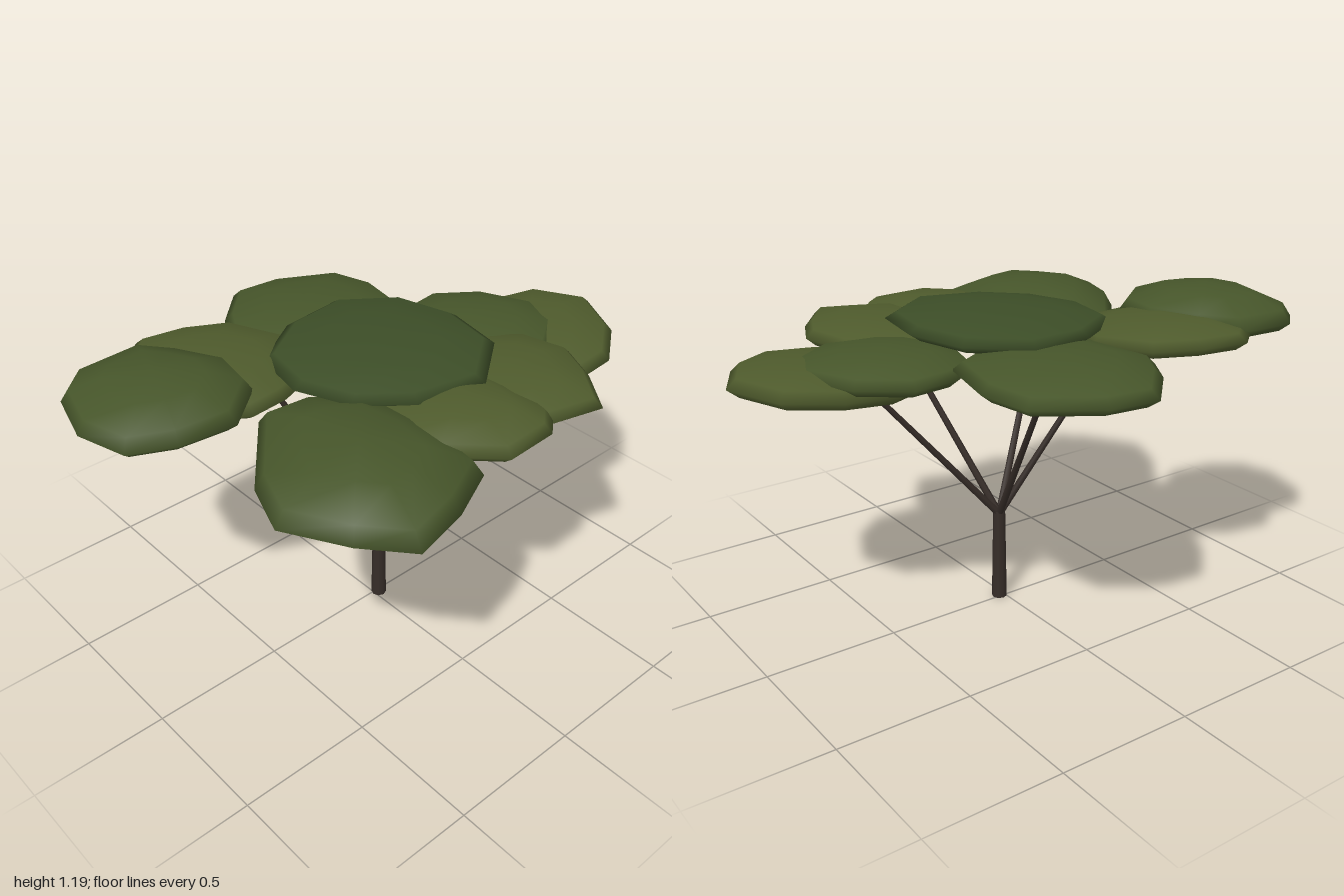
import * as THREE from 'three';
import { mergeVertices } from 'three/addons/utils/BufferGeometryUtils.js';

const bark = new THREE.MeshStandardMaterial({ color: 0x362d28 });
const leafMaterial = color => new THREE.MeshStandardMaterial({ color });
const green = leafMaterial(0x46552a), dark = leafMaterial(0x3c4d27), olive = leafMaterial(0x4e5a2c);

// Dome profile from underside to top: share of the outline, share of drop or rise
const profile = [[0, -1], [0.53, -0.83], [0.88, -0.42], [1, 0], [0.9, 0.42], [0.53, 0.82], [0, 1]];

// Low dome over a ten-cornered outline of x, z pairs, clockwise from above
function leafPad(name, material, { y, up, down, slopeX = 0, slopeZ = 0 }, outline) {
  const n = outline.length / 2;
  const corners = Array.from({ length: n }, (_, j) => new THREE.Vector2(outline[2 * j], outline[2 * j + 1]));
  const mid = corners.reduce((sum, c) => sum.add(c), new THREE.Vector2()).divideScalar(n);
  const positions = [], index = [];
  profile.forEach(([share, h], i) => {
    for (let j = 0; j < n; j++) {
      const dx = (corners[j].x - mid.x) * share, dz = (corners[j].y - mid.y) * share;
      positions.push(dx, h * (h > 0 ? up : down) + dx * slopeX + dz * slopeZ, dz);
      if (i === 0) continue;
      const a = (i - 1) * n + j, b = (i - 1) * n + (j + 1) % n;
      if (i > 1) index.push(a, a + n, b);
      if (i < profile.length - 1) index.push(b, a + n, b + n);
    }
  });
  let geo = new THREE.BufferGeometry();
  geo.setAttribute('position', new THREE.Float32BufferAttribute(positions, 3));
  geo.setIndex(index);
  geo = mergeVertices(geo, 1e-4);
  geo.computeVertexNormals();
  const pad = new THREE.Mesh(geo, material);
  pad.name = name;
  pad.position.set(mid.x, y, mid.y);
  return pad;
}

// Tapered limb between two points
function limb(name, from, to, r0, r1, sides) {
  const a = new THREE.Vector3(...from), dir = new THREE.Vector3(...to).sub(a);
  const mesh = new THREE.Mesh(new THREE.CylinderGeometry(r1, r0, dir.length(), sides), bark);
  mesh.name = name;
  mesh.position.copy(a).addScaledVector(dir, 0.5);
  mesh.quaternion.setFromUnitVectors(new THREE.Vector3(0, 1, 0), dir.normalize());
  return mesh;
}

export function createModel() {
  const tree = new THREE.Group();
  tree.name = 'flatCrownedTree';

  // Trunk and the five branches fanning from its top
  const fork = [0.02, 0.345, 0.01];
  tree.add(limb('trunk', [0.02, 0, 0.01], [0.02, 0.36, 0.01], 0.029, 0.023, 8));
  const ends = [
    [-0.52, 1.0, 0.46], [-0.30, 1.0, -0.21], [0.15, 1.0, -0.44],
    [0.21, 1.0, 0.42], [0.53, 0.95, 0.135],
  ];
  ends.forEach((end, i) => tree.add(limb('branch' + (i + 1), fork, end, 0.014, 0.010, 6)));

  // Canopy of overlapping pads
  const canopy = new THREE.Group();
  canopy.name = 'canopy';
  canopy.add(
    leafPad('backRightOuterPad', green, { y: 1.08, up: 0.11, down: 0.075, slopeX: 0.03 },
      [-1, -0.27, -0.94, -0.48, -0.84, -0.57, -0.59, -0.57, -0.5, -0.45,
        -0.41, -0.27, -0.44, -0.1, -0.6, 0.03, -0.8, 0, -0.95, -0.08]),
    leafPad('backRightInnerPad', olive, { y: 1.06, up: 0.07, down: 0.07, slopeZ: -0.04 },
      [-0.55, -0.64, -0.38, -0.61, -0.22, -0.53, -0.12, -0.33, -0.19, -0.09,
        -0.36, -0.03, -0.5, -0.02, -0.66, -0.12, -0.72, -0.33, -0.66, -0.55]),
    leafPad('backPad', green, { y: 1.03, up: 0.075, down: 0.075, slopeZ: 0.04 },
      [-0.02, -0.79, 0.16, -0.77, 0.38, -0.64, 0.42, -0.46, 0.37, -0.22,
        0.2, -0.13, -0.02, -0.14, -0.19, -0.27, -0.24, -0.52, -0.17, -0.64]),
    leafPad('centrePad', dark, { y: 1.1, up: 0.06, down: 0.07, slopeX: 0.02 },
      [-0.31, -0.22, -0.1, -0.35, 0.14, -0.37, 0.33, -0.22, 0.39, 0.01,
        0.35, 0.24, 0.14, 0.4, -0.11, 0.34, -0.27, 0.2, -0.35, 0]),
    leafPad('leftInnerPad', green, { y: 1.015, up: 0.07, down: 0.07 },
      [0.37, -0.26, 0.54, -0.28, 0.7, -0.16, 0.79, 0.04, 0.73, 0.2,
        0.58, 0.3, 0.4, 0.28, 0.26, 0.18, 0.2, 0, 0.25, -0.18]),
    leafPad('leftOuterPad', olive, { y: 0.965, up: 0.08, down: 0.075, slopeX: 0.09 },
      [0.72, -0.15, 0.91, -0.07, 1, 0.13, 0.9, 0.33, 0.74, 0.45,
        0.55, 0.45, 0.38, 0.36, 0.27, 0.15, 0.34, -0.05, 0.52, -0.15]),
    leafPad('frontLeftPad', olive, { y: 1.03, up: 0.07, down: 0.07, slopeX: 0.03 },
      [0.2, 0.02, 0.4, 0.06, 0.55, 0.2, 0.59, 0.38, 0.52, 0.53,
        0.4, 0.69, 0.23, 0.64, 0.06, 0.58, -0.03, 0.36, 0.04, 0.14]),
    leafPad('frontPad', olive, { y: 1.035, up: 0.08, down: 0.075 },
      [-0.02, 0.1, 0.15, 0.1, 0.25, 0.25, 0.26, 0.45, 0.23, 0.62,
        0.16, 0.68, -0.04, 0.69, -0.2, 0.53, -0.24, 0.4, -0.18, 0.2]),
    leafPad('frontRightPad', green, { y: 0.995, up: 0.135, down: 0.05, slopeX: 0.01, slopeZ: -0.02 },
      [-0.77, 0.43, -0.7, 0.24, -0.47, -0.04, -0.3, -0.02, -0.13, 0.1,
        -0.08, 0.35, -0.12, 0.65, -0.31, 0.74, -0.52, 0.79, -0.65, 0.64]),
  );
  tree.add(canopy);
  return tree;
}
